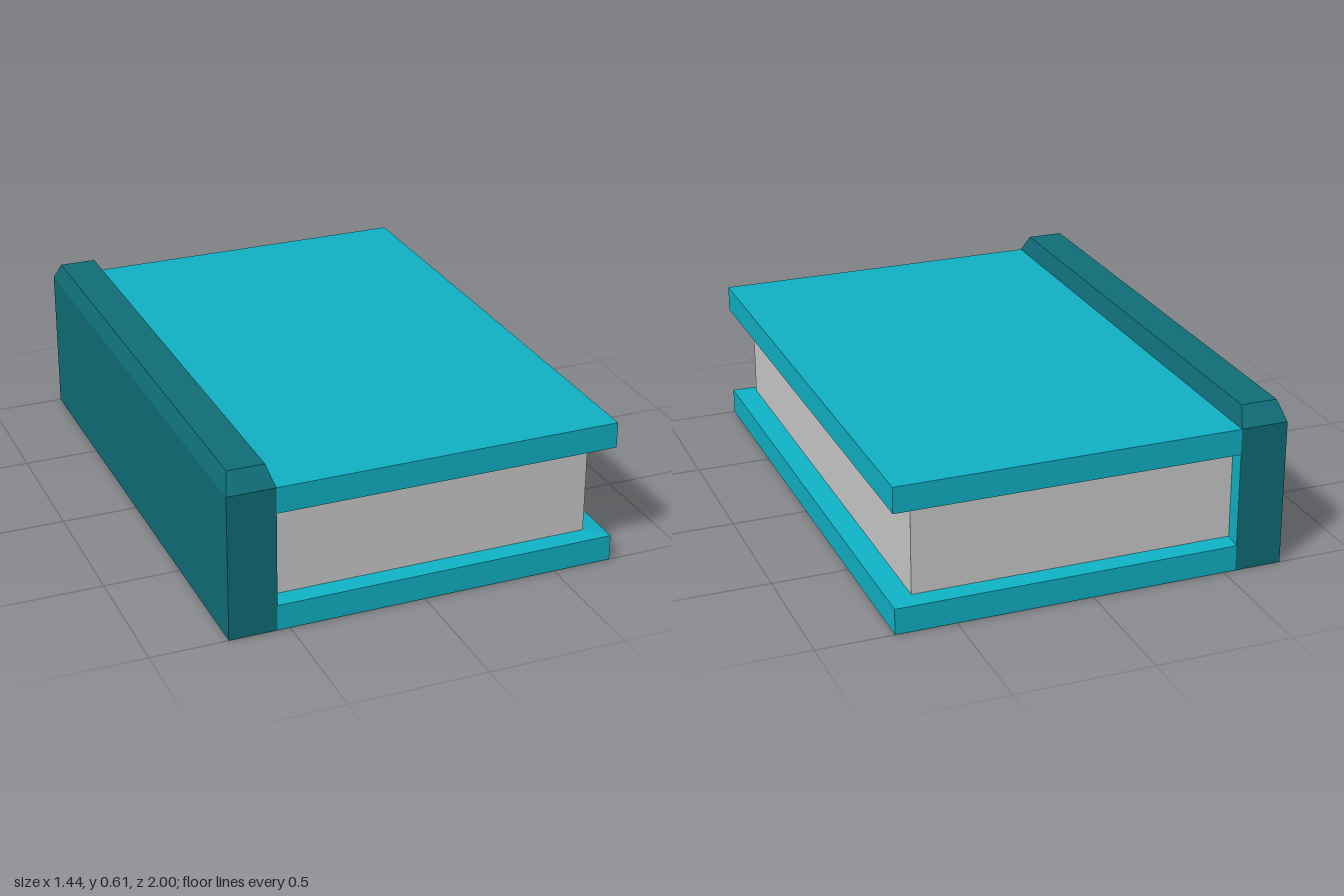
import * as THREE from 'three';

export function createModel() {
  const model = new THREE.Group();
  const material = (name, color) => {
    const m = new THREE.MeshStandardMaterial({ color });
    m.name = name;
    return m;
  };
  const cover = material('coverTeal', 0x10b2c6);
  const spine = material('spineDarkTeal', 0x106e78);
  const paper = material('paperGrey', 0xcbcbcb);

  // Block from (x0,y0) to (x1,y1), reaching z0 each way at the bottom and z1 at the top;
  // the top edges may be pulled to other x positions.
  const block = (name, mat, x0, x1, y0, y1, z0, z1 = z0, topX0 = x0, topX1 = x1) => {
    let geo = new THREE.BoxGeometry(1, 1, 1);
    const p = geo.attributes.position;
    for (let i = 0; i < p.count; i++) {
      const top = p.getY(i) > 0;
      const right = p.getX(i) > 0;
      const x = top ? (right ? topX1 : topX0) : (right ? x1 : x0);
      p.setXYZ(i, x, top ? y1 : y0, Math.sign(p.getZ(i)) * (top ? z1 : z0));
    }
    geo.computeVertexNormals();
    const mesh = new THREE.Mesh(geo, mat);
    mesh.name = name;
    model.add(mesh);
    return mesh;
  };

  const hinge = -0.545, edge = 0.72, pageEdge = 0.64, pageZ = 0.94;

  // Each cover is a board with a shallow raised bed that meets the pages
  const lowerCover = new THREE.Group();
  lowerCover.name = 'lowerCover';
  lowerCover.add(
    block('lowerBoard', cover, hinge, edge, 0, 0.096, 1),
    block('lowerBed', cover, hinge, edge, 0.096, 0.106, 1, pageZ, hinge, pageEdge));
  const upperCover = lowerCover.clone();
  upperCover.name = 'upperCover';
  upperCover.children[0].name = 'upperBoard';
  upperCover.children[1].name = 'upperBed';
  upperCover.rotation.x = Math.PI;
  upperCover.position.y = 0.542;
  model.add(lowerCover, upperCover);

  // Page block
  block('pages', paper, hinge, pageEdge, 0.106, 0.436, pageZ);

  // Spine, whose inner face takes the cover colour, and its bevelled ridge
  block('spine', [cover, spine, spine, spine, spine, spine], -edge, hinge, 0, 0.542, 1);
  block('spineRidge', spine, -edge, hinge, 0.542, 0.61, 1, 0.95, -0.70, -0.565);

  return model;
}
